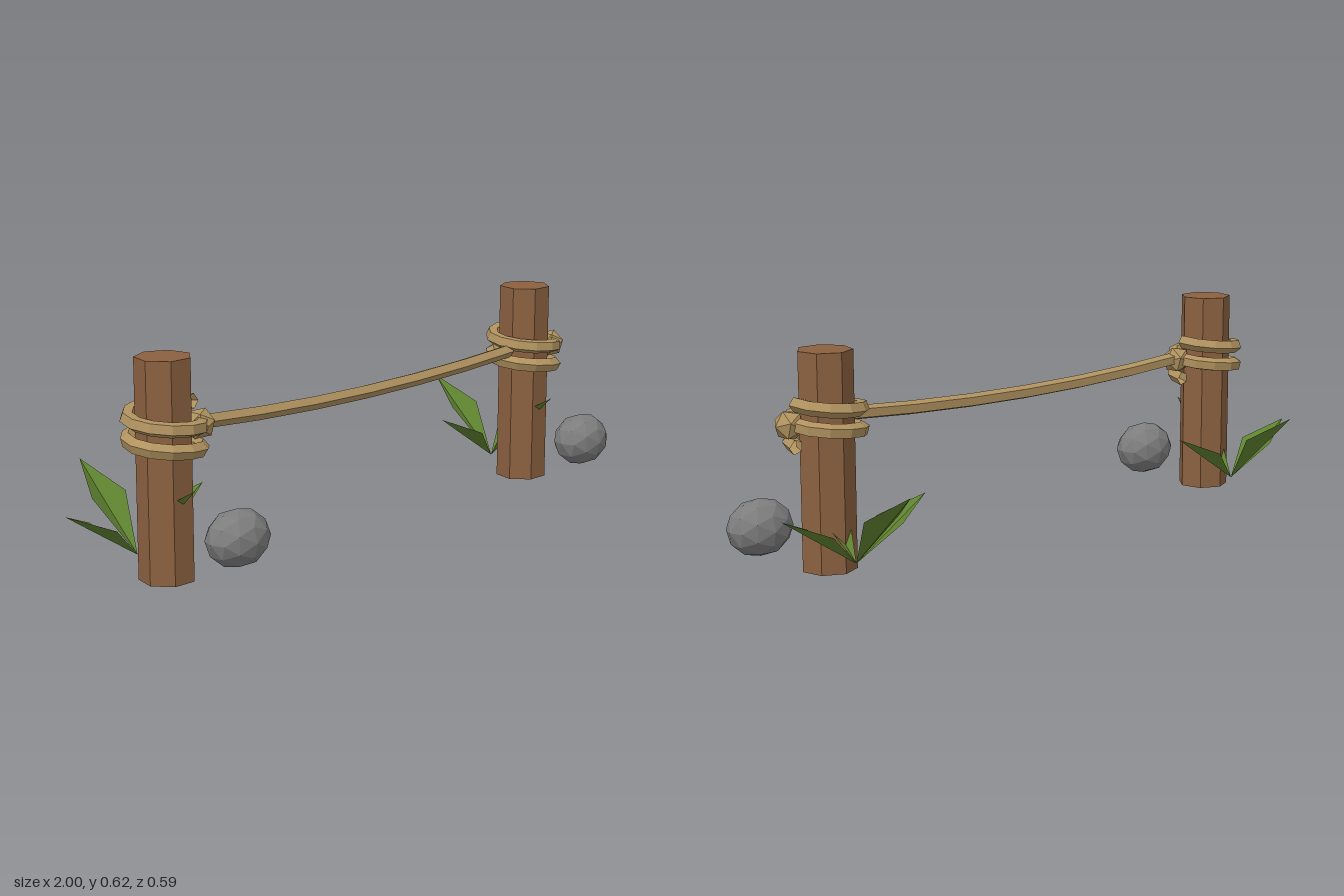
import * as THREE from 'three';

const mat = (color, side = THREE.FrontSide) =>
  new THREE.MeshStandardMaterial({ color, side, flatShading: true });
const wood = mat(0x8b6140);
const ropeMat = mat(0xb0925f, THREE.DoubleSide);
const stone = mat(0x7d7d7d);
const leafMat = mat(0x5f8230, THREE.DoubleSide);

const POST_X = 0.755, POST_Z = 0.079;

function add(parent, name, geometry, material, x = 0, y = 0, z = 0) {
  const mesh = new THREE.Mesh(geometry, material);
  mesh.name = name;
  mesh.position.set(x, y, z);
  parent.add(mesh);
  return mesh;
}

// Two turns of rope, starting and ending on the +x side
class Coil extends THREE.Curve {
  getPoint(t, target = new THREE.Vector3()) {
    const a = t * Math.PI * 4;
    return target.set(0.1 * Math.cos(a), 0.36 + 0.12 * t, 0.1 * Math.sin(a));
  }
}

// Folded leaf pointing along +z: straight keel with two raised side corners
function leafGeometry(tipY, cornerY) {
  const base = [0, 0.04, 0], tip = [0, tipY, 0.245];
  const keel = [0, 0.04 + (tipY - 0.04) * 0.65, 0.16];
  const left = [0.06, cornerY, 0.118], right = [-0.06, cornerY, 0.118];
  const g = new THREE.BufferGeometry();
  g.setAttribute('position', new THREE.Float32BufferAttribute([
    base, keel, left, keel, tip, left,
    base, right, keel, keel, right, tip,
  ].flat(), 3));
  g.computeVertexNormals();
  return g;
}

function createPost(name) {
  const g = new THREE.Group();
  g.name = name;

  // Seven-sided post with a flat side to the front
  const post = add(g, 'post', new THREE.CylinderGeometry(0.079, 0.079, 0.62, 7), wood, 0, 0.31, POST_Z);
  post.rotation.y = -Math.PI / 7;

  // Rope coil and knot
  add(g, 'ropeCoil', new THREE.TubeGeometry(new Coil(), 24, 0.022, 5), ropeMat, 0, 0, POST_Z);
  const knot = add(g, 'knot', new THREE.IcosahedronGeometry(0.045, 0), ropeMat, 0.108, 0.42, 0.1);
  knot.rotation.z = -1.017;

  // Rock at the front
  const rock = add(g, 'rock', new THREE.IcosahedronGeometry(1, 1), stone, 0.135, 0.116, 0.216);
  rock.scale.set(0.1, 0.083, 0.078);

  // Plant of four leaves, the front one growing through the post
  const plant = new THREE.Group();
  plant.name = 'plant';
  plant.position.z = -0.047;
  for (let i = 0; i < 4; i++) {
    const geometry = i % 2 ? leafGeometry(0.2, 0.145) : leafGeometry(0.27, 0.19);
    add(plant, 'leaf', geometry, leafMat).rotation.y = i * Math.PI / 2;
  }
  g.add(plant);
  return g;
}

export function createModel() {
  const model = new THREE.Group();
  model.name = 'ropeFence';
  for (const [name, x] of [['rightPost', -POST_X], ['leftPost', POST_X]]) {
    const post = createPost(name);
    post.position.x = x;
    model.add(post);
  }

  // Sagging rope between the posts
  const span = new THREE.QuadraticBezierCurve3(
    new THREE.Vector3(-0.65, 0.425, 0.098),
    new THREE.Vector3(0, 0.375, 0.094),
    new THREE.Vector3(0.66, 0.425, 0.098));
  add(model, 'rope', new THREE.TubeGeometry(span, 6, 0.021, 5), ropeMat);
  return model;
}
